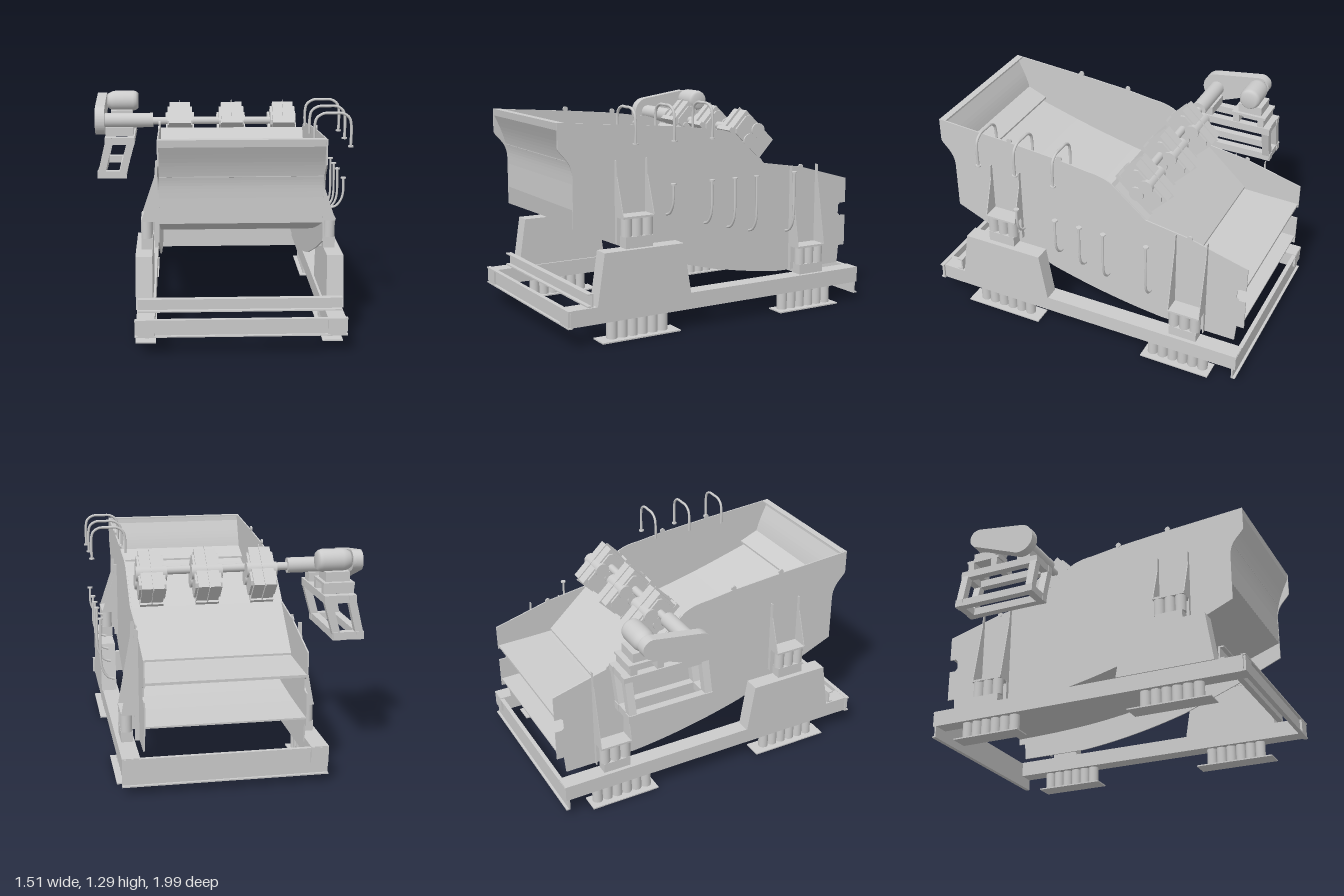
import * as THREE from 'three';

const grey = new THREE.MeshStandardMaterial({ color: 0xcccccc, side: THREE.DoubleSide });
const CX = 0.105; // centre line of the screen body

export function createModel() {
  const model = new THREE.Group();
  const body = new THREE.Group(); // symmetric parts, mirrored about its own x = 0
  body.name = 'screenAndFrame';
  body.position.x = CX;
  model.add(body);

  function add(parent, name, geo) {
    const m = new THREE.Mesh(geo, grey);
    m.name = name;
    parent.add(m);
    return m;
  }
  // box from its limits
  function box(parent, name, x0, x1, y0, y1, z0, z1) {
    const g = new THREE.BoxGeometry(Math.abs(x1 - x0), y1 - y0, Math.abs(z1 - z0));
    return add(parent, name, g.translate((x0 + x1) / 2, (y0 + y1) / 2, (z0 + z1) / 2));
  }
  const vec2 = pts => pts.map(p => new THREE.Vector2(p[0], p[1]));
  const shapeOf = pts => new THREE.Shape(vec2(pts));
  // extrude a (z, y) outline across x
  function acrossX(parent, name, shape, x0, x1) {
    const g = new THREE.ExtrudeGeometry(shape, { depth: x1 - x0, bevelEnabled: false, curveSegments: 16 });
    return add(parent, name, g.rotateY(-Math.PI / 2).translate(x1, 0, 0));
  }
  // bent sheet following a (z, y) line
  function sheet(parent, name, line, dz, dy, half) {
    const back = line.map(p => [p[0] + dz, p[1] + dy]).reverse();
    return acrossX(parent, name, shapeOf([...line, ...back]), -half, half);
  }
  const smooth = (pts, n) => new THREE.SplineCurve(vec2(pts)).getPoints(n).map(p => [p.x, p.y]);
  function cylX(parent, name, r, x0, x1, y, z, seg = 24) {
    const g = new THREE.CylinderGeometry(r, r, x1 - x0, seg).rotateZ(Math.PI / 2);
    return add(parent, name, g.translate((x0 + x1) / 2, y, z));
  }
  function cylY(parent, name, r, y0, y1, x, z) {
    return add(parent, name, new THREE.CylinderGeometry(r, r, y1 - y0, 16).translate(x, (y0 + y1) / 2, z));
  }
  // square bar between two points
  function bar(parent, name, a, b, w) {
    const va = new THREE.Vector3(...a), vb = new THREE.Vector3(...b);
    const m = add(parent, name, new THREE.BoxGeometry(w, w, va.distanceTo(vb)));
    m.position.copy(va).add(vb).multiplyScalar(0.5);
    m.lookAt(vb);
  }
  function pipe(parent, name, pts, r) {
    const curve = new THREE.CatmullRomCurve3(pts.map(p => new THREE.Vector3(...p)), false, 'centripetal');
    add(parent, name, new THREE.TubeGeometry(curve, 40, r, 8));
  }

  // side plates with notched discharge end
  const side = new THREE.Shape();
  side.moveTo(0.973, 1.205);
  side.lineTo(0.973, 1.065);
  side.bezierCurveTo(0.95, 1.02, 0.888, 1.0, 0.888, 0.9);
  side.lineTo(0.888, 0.625);
  side.lineTo(0.625, 0.51);
  side.lineTo(0.233, 0.36);
  side.quadraticCurveTo(-0.13, 0.255, -0.49, 0.222);
  for (const p of [[-0.936, 0.222], [-0.945, 0.33], [-0.99, 0.33], [-0.99, 0.52], [-0.95, 0.52], [-0.935, 0.535],
    [-0.935, 0.585], [-0.95, 0.6], [-0.99, 0.6], [-0.99, 0.753], [-0.64, 0.85], [-0.367, 0.893], [-0.153, 1.075]])
    side.lineTo(p[0], p[1]);
  side.quadraticCurveTo(-0.1, 1.11, 0, 1.115);
  side.lineTo(0.17, 1.14);
  side.lineTo(0.5, 1.17);
  for (const s of [-1, 1]) {
    const x = s * 0.447;
    acrossX(body, 'sidePlate', side, x - 0.004, x + 0.004);
    for (const [z, y] of [[0.5, 1.18], [0.175, 1.15], [-0.64, 0.85]]) cylX(body, 'liftingLug', 0.016, x - 0.005, x + 0.005, y, z, 16);
  }

  // feed end plate, decks and the exciter beam, whose top slopes down to the upper deck
  const feedCurve = smooth([[0.968, 1.165], [0.927, 1.075], [0.902, 1.0], [0.89, 0.94], [0.886, 0.87]], 16);
  sheet(body, 'feedEndPlate', [[0.972, 1.205], ...feedCurve, [0.886, 0.73]], -0.01, 0, 0.443);
  box(body, 'feedEndLip', -0.443, 0.443, 1.197, 1.205, 0.93, 0.965);
  sheet(body, 'feedPlate', [[0.9, 1.0], [0.77, 0.945]], 0, -0.012, 0.443);
  const upper = smooth([[0.885, 0.945], [0.78, 0.91], [0.4, 0.8], [0, 0.71], [-0.35, 0.66], [-0.65, 0.635], [-0.985, 0.625]], 18);
  sheet(body, 'upperDeck', upper, 0, -0.015, 0.443);
  const lower = smooth([[0.885, 0.738], [0.5, 0.6], [0.1, 0.49], [-0.3, 0.42], [-0.65, 0.39], [-0.985, 0.38]], 18);
  sheet(body, 'lowerDeck', lower, 0, -0.01, 0.443);
  acrossX(body, 'exciterBeam', shapeOf([[-0.175, 1.06], [-0.04, 0.9], [-0.235, 0.73], [-0.375, 0.89]]), -0.443, 0.443);
  sheet(body, 'beamApron', [[-0.375, 0.89], [-0.635, 0.65]], 0, -0.012, 0.443);

  // base frame: long beams and cross channels
  for (const s of [-1, 1]) box(body, 'longBeam', s * 0.475, s * 0.575, 0.115, 0.21, -0.998, 0.985);
  function channel(name, half, y0, y1, web, tip) {
    const d = Math.sign(tip - web) * 0.01;
    box(body, name + 'Web', -half, half, y0, y1, web, web + d);
    box(body, name + 'Flange', -half, half, y0, y0 + 0.008, web, tip);
    box(body, name + 'Flange', -half, half, y1 - 0.008, y1, web, tip);
  }
  channel('frontCrossBeam', 0.585, 0.112, 0.212, 0.962, 0.988);
  channel('frontUpperCrossBeam', 0.57, 0.212, 0.288, 0.83, 0.865);
  channel('rearCrossBeam', 0.575, 0.045, 0.205, -0.975, -1);

  for (const s of [-1, 1]) {
    // pedestals under the feed end
    acrossX(body, 'pedestal', shapeOf([[0.81, 0.21], [0.765, 0.505], [0.267, 0.505], [0.218, 0.21]]), s * 0.535 - 0.047, s * 0.535 + 0.047);

    // spring mounts: fins on the side plate, top seat, springs and lower seat
    for (const [z, y, top] of [[0.535, 0.57, 0.985], [-0.655, 0.27, 0.86]]) {
      const mount = new THREE.Group();
      mount.name = 'springMount';
      body.add(mount);
      const h = y + 0.105;
      const fin = shapeOf([[s * 0.45, y - 0.05], [s * 0.45, top], [s * 0.47, top], [s * 0.475, top - 0.09], [s * 0.55, h],
        [s * 0.475, h], [s * 0.475, y - 0.05]]);
      for (const dz of [-0.096, 0.096]) {
        const g = new THREE.ExtrudeGeometry(fin, { depth: 0.005, bevelEnabled: false });
        add(mount, 'fin', g.translate(0, 0, z + dz - 0.0025));
      }
      box(mount, 'upperSeat', s * 0.45, s * 0.552, h - 0.005, h + 0.007, z - 0.098, z + 0.098);
      for (let i = -1; i <= 1; i++) cylY(mount, 'spring', 0.032, y, h, s * 0.52, z + i * 0.066);
      box(mount, 'lowerSeat', s * 0.485, s * 0.552, y - 0.065, y, z - 0.085, z + 0.085);
    }

    // isolation feet
    for (const [z, n, len] of [[0.5375, 6, 0.495], [-0.62, 6, 0.43]]) {
      box(body, 'footPlate', s * 0.532 - 0.058, s * 0.532 + 0.058, 0, 0.008, z - len / 2, z + len / 2);
      for (let i = 0; i < n; i++) cylY(body, 'footSpring', 0.031, 0.008, 0.116, s * 0.525, z + (i - (n - 1) / 2) * 0.064);
    }
  }

  // three tilted exciters on the beam, joined by a drive shaft
  const coverPlate = shapeOf([[-0.1, -0.07], [0.1, -0.07], [0.118, -0.05], [0.118, 0.05], [0.1, 0.07], [-0.1, 0.07], [-0.118, 0.05], [-0.118, -0.05]]);
  for (const x of [-0.325, 0, 0.325]) {
    const ex = new THREE.Group();
    ex.name = 'exciter';
    ex.position.set(x, 1.054, -0.32);
    ex.rotation.x = -Math.atan2(0.204, 0.214);
    body.add(ex);
    box(ex, 'housing', -0.065, 0.065, -0.087, 0.08, -0.135, 0.135);
    box(ex, 'baseFlange', -0.068, 0.068, -0.087, -0.06, -0.148, 0.148);
    box(ex, 'seam', -0.002, 0.002, -0.08, 0.087, -0.148, 0.148);
    acrossX(ex, 'coverPlate', coverPlate, -0.078, 0.078);
    for (const d of [-1, 1]) cylX(ex, 'bearingCover', 0.044, -0.09, 0.09, d * 0.041, 0);
  }
  cylX(body, 'driveShaft', 0.024, -0.5, 0.325, 1.085, -0.285);

  // drive: shaft housing, rounded motor, belt guard
  const drive = new THREE.Group();
  drive.name = 'drive';
  model.add(drive);
  cylX(drive, 'shaftHousing', 0.046, -0.695, -0.39, 1.09, -0.285);
  const barrel = vec2([[0, -0.103], [0.048, -0.103], [0.061, -0.088], [0.066, -0.07], [0.066, 0.045], [0.061, 0.07], [0.05, 0.09], [0.044, 0.1], [0, 0.1]]);
  add(drive, 'motor', new THREE.LatheGeometry(barrel, 28).rotateZ(Math.PI / 2).translate(-0.594, 1.17, -0.57));
  box(drive, 'motorFoot', -0.67, -0.53, 1.06, 1.115, -0.645, -0.495);
  box(drive, 'motorPlate', -0.69, -0.51, 1.045, 1.06, -0.68, -0.46);
  for (const z of [-0.65, -0.49]) box(drive, 'motorRail', -0.69, -0.51, 0.995, 1.045, z - 0.02, z + 0.02);
  box(drive, 'housingSupport', -0.69, -0.515, 0.995, 1.05, -0.33, -0.24);
  const guard = new THREE.Shape();
  guard.absarc(-0.285, 1.092, 0.092, -Math.PI / 2 - 0.2, Math.PI / 2 - 0.12, false);
  guard.absarc(-0.565, 1.165, 0.06, Math.PI / 2 - 0.12, Math.PI * 1.5 - 0.2, false);
  acrossX(drive, 'beltGuard', guard, -0.755, -0.695);

  // splayed motor stand
  for (const z of [-0.685, -0.215]) {
    bar(drive, 'standTopBar', [-0.695, 0.97, z], [-0.51, 0.97, z], 0.045);
    bar(drive, 'standBottomBar', [-0.745, 0.755, z], [-0.56, 0.755, z], 0.045);
    bar(drive, 'standLeg', [-0.672, 0.96, z], [-0.72, 0.76, z], 0.045);
    bar(drive, 'standLeg', [-0.53, 0.96, z], [-0.585, 0.76, z], 0.045);
  }
  for (const x of [-0.672, -0.53]) bar(drive, 'standTopRail', [x, 0.97, -0.712], [x, 0.97, -0.19], 0.045);
  for (const x of [-0.72, -0.585]) bar(drive, 'standBottomRail', [x, 0.755, -0.712], [x, 0.755, -0.19], 0.045);

  // spray water pipes: arches over the top edge and elbows on the side
  for (const z of [0.6, 0.36, 0.115]) {
    pipe(model, 'overheadPipe', [[0.53, 1.12, z], [0.53, 1.21, z], [0.541, 1.253, z], [0.578, 1.278, z], [0.63, 1.28, z],
      [0.688, 1.278, z], [0.724, 1.253, z], [0.735, 1.21, z], [0.735, 1.09, z]], 0.008);
    cylY(model, 'pipeCap', 0.016, 1.087, 1.095, 0.735, z);
  }
  for (const [z, y] of [[0.365, 0.675], [0.115, 0.6], [-0.04, 0.56], [-0.19, 0.525], [-0.455, 0.495]]) {
    pipe(model, 'sidePipe', [[0.735, 0.855, z], [0.735, y + 0.09, z], [0.722, y + 0.045, z], [0.695, y + 0.012, z], [0.66, y, z]], 0.007);
    cylY(model, 'pipeCap', 0.016, 0.851, 0.859, 0.735, z);
  }
  return model;
}
